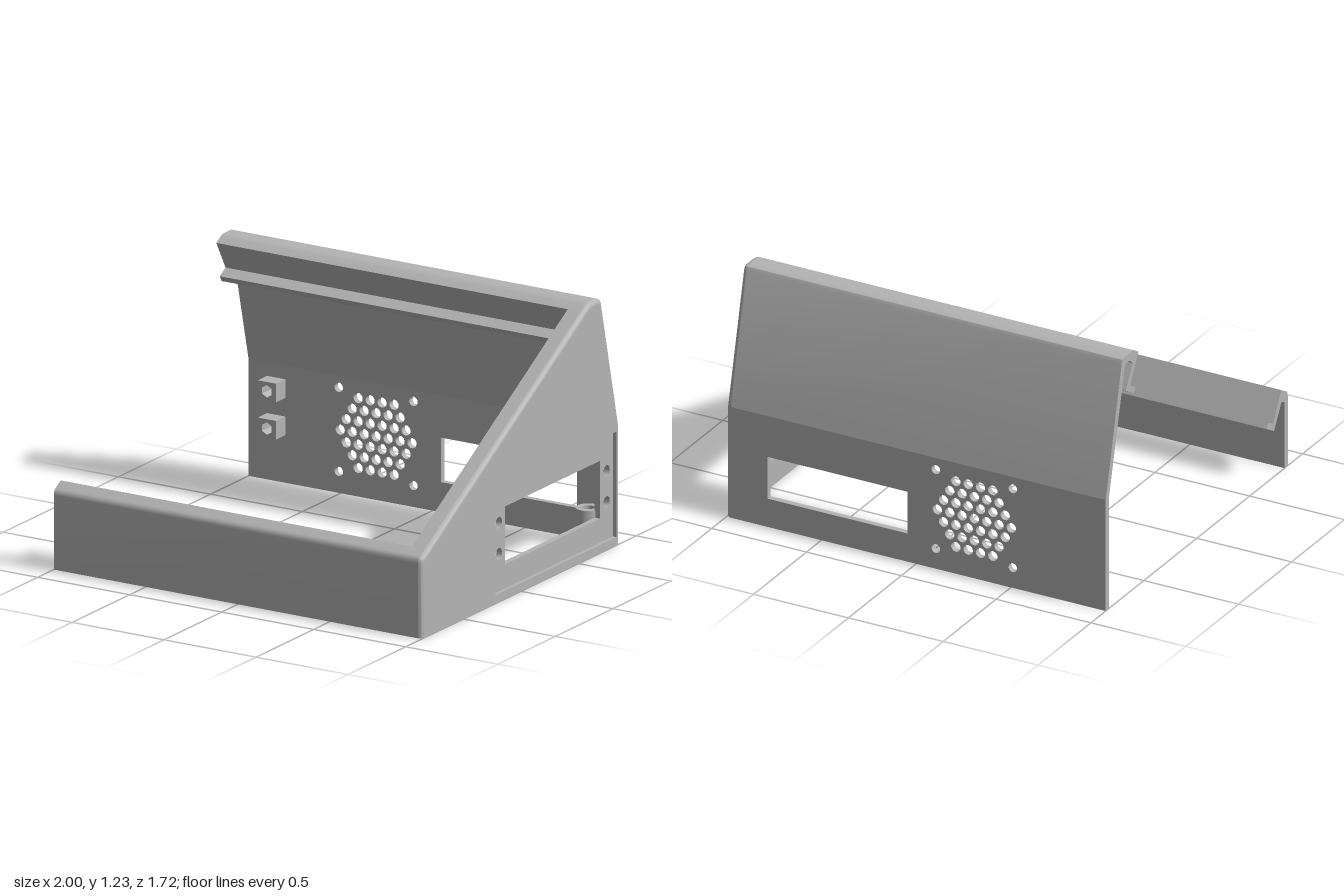
import * as THREE from 'three';
import { toCreasedNormals } from 'three/addons/utils/BufferGeometryUtils.js';

const R = 0.022;          // rounding of the closed end
const XS = 1 - R;         // where the rounding starts
const T = 0.03;           // sheet thickness

// Outer side profile as [z, y], from the front foot over the top to the back foot
const FRONT = [[0.86, 0], [0.86, 0.36], [0.858, 0.374], [0.85, 0.386], [0.838, 0.393]];
const TOP = [[-0.585, 1.221], [-0.605, 1.229], [-0.62, 1.23], [-0.68, 1.23], [-0.7, 1.222], [-0.709, 1.205], [-0.86, 0.57]];
const PROFILE = [...FRONT, ...TOP, [-0.86, 0]];

// Moves the profile inward by d, keeping the feet on the ground
function inset(d) {
  const normal = (a, b) => {
    const l = Math.hypot(b[0] - a[0], b[1] - a[1]);
    return [(b[1] - a[1]) / l, -(b[0] - a[0]) / l];
  };
  const last = PROFILE.length - 1;
  return PROFILE.map((p, i) => {
    const a = i > 0 ? normal(PROFILE[i - 1], p) : normal(p, PROFILE[1]);
    const b = i < last ? normal(p, PROFILE[i + 1]) : a;
    const k = d / (1 + a[0] * b[0] + a[1] * b[1]);
    return [p[0] - (a[0] + b[0]) * k, p[1] - (a[1] + b[1]) * k];
  });
}

const poly = (pts) => new THREE.Shape(pts.map(([x, y]) => new THREE.Vector2(x, y)));
const side = (pts) => pts.map(([z, y]) => [-z, y]);
const rect = (x0, y0, x1, y1) => [[x0, y0], [x1, y0], [x1, y1], [x0, y1]];
const polyHole = (pts) => new THREE.Path(pts.map(([x, y]) => new THREE.Vector2(x, y)));
const roundHole = (x, y, r) => new THREE.Path().absarc(x, y, r, 0, Math.PI * 2, true);

function extrude(shape, depth) {
  return new THREE.ExtrudeGeometry(shape, { depth, bevelEnabled: false, curveSegments: 10 });
}
// Extrudes a [-z, y] shape along x
function alongX(shape, x0, x1) {
  return extrude(shape, x1 - x0).rotateY(Math.PI / 2).translate(x0, 0, 0);
}

export function createModel() {
  const group = new THREE.Group();
  const grey = new THREE.MeshStandardMaterial({ color: 0xb4b4b4 });
  grey.name = 'grey';
  const add = (name, geometry, parent = group) => {
    const mesh = new THREE.Mesh(toCreasedNormals(geometry, 0.6), grey);
    mesh.name = name;
    parent.add(mesh);
    return mesh;
  };

  // Front wall, folded inward to a recessed ledge
  add('frontWall', alongX(poly(side([
    ...FRONT, [0.8, 0.415], [0.72, 0.275], [0.675, 0.301], [0.66, 0.275],
    [0.731, 0.234], [0.8, 0.352], [0.83, 0.34], [0.83, 0],
  ])), -1, XS));

  // Leaning upper back wall with the matching fold at the top
  add('upperBackWall', alongX(poly(side([
    [-0.83, 0.565], [-0.86, 0.57], ...TOP.slice(0, -1).reverse(), [-0.55, 1.2],
    [-0.63, 1.06], [-0.58, 1.031], [-0.595, 1.004], [-0.671, 1.049],
    [-0.605, 1.165], [-0.635, 1.19], [-0.677, 1.19],
  ])), -1, XS));

  // Lower back wall with connector window and fan grille
  const back = poly(rect(-1, 0, XS, 0.57));
  back.holes.push(polyHole(rect(0.045, 0.145, 0.785, 0.36)));
  const fx = -0.307, fy = 0.307;
  for (const sx of [-1, 1]) for (const sy of [-1, 1]) {
    back.holes.push(roundHole(fx + sx * 0.203, fy + sy * 0.203, 0.023));
  }
  for (let row = -3; row <= 3; row++) {
    const n = 7 - Math.abs(row);
    for (let i = 0; i < n; i++) {
      back.holes.push(roundHole(fx + (i - (n - 1) / 2) * 0.065, fy + row * 0.0563, 0.025));
    }
  }
  add('lowerBackWall', extrude(back, T).translate(0, 0, -0.86));

  // End wall with the cutout for the inset panel
  const end = poly(side(inset(R)));
  end.holes.push(polyHole(rect(-0.22, 0.04, 0.83, 0.55)));
  add('endWall', alongX(end, 0.97, 1));

  // Rounded edge between the end wall and the other walls
  const steps = 6, positions = [], index = [];
  for (let k = 0; k <= steps; k++) {
    const a = (k / steps) * Math.PI / 2;
    for (const [z, y] of inset(R * (1 - Math.cos(a)))) positions.push(XS + R * Math.sin(a), y, z);
  }
  const n = PROFILE.length;
  for (let k = 0; k < steps; k++) for (let i = 0; i < n - 1; i++) {
    const a = k * n + i, b = a + n;
    index.push(a, b, a + 1, b, b + 1, a + 1);
  }
  const edge = new THREE.BufferGeometry();
  edge.setAttribute('position', new THREE.Float32BufferAttribute(positions, 3));
  edge.setIndex(index);
  add('roundedEdge', edge);

  // Inset side panel with window and screw holes
  const panel = poly(rect(-0.23, 0.03, 0.835, 0.56));
  panel.holes.push(polyHole(rect(-0.105, 0.155, 0.72, 0.435)));
  for (const u of [-0.16, 0.775]) for (const y of [0.22, 0.37]) panel.holes.push(roundHole(u, y, 0.028));
  add('sidePanel', alongX(panel, 0.95, 0.98));

  // Sloping rim, recess wall and ledge along the closed end; local y is the slope normal
  const slope = new THREE.Group();
  slope.name = 'slopingFrame';
  slope.position.set(0, 0.8075, 0.125);
  slope.rotation.x = Math.atan2(0.503, 0.864);
  group.add(slope);
  const bar = (name, x0, x1, y0, y1, length) =>
    add(name, new THREE.BoxGeometry(x1 - x0, y1 - y0, length)
      .translate((x0 + x1) / 2, (y0 + y1) / 2, 0), slope);
  bar('rim', 0.91, XS, -T, 0, 1.6);
  bar('recessWall', 0.91, 0.94, -0.19, -0.001, 1.58);
  bar('ledge', 0.86, 0.94, -0.192, -0.162, 1.57);

  // Screw blocks on the inside of the back wall
  for (const y of [0.455, 0.275]) {
    const block = poly(rect(-0.9, y - 0.045, -0.8, y + 0.045));
    const hex = [];
    for (let i = 0; i < 6; i++) {
      const a = (i + 0.5) * Math.PI / 3;
      hex.push([-0.85 + 0.03 * Math.cos(a), y + 0.03 * Math.sin(a)]);
    }
    block.holes.push(polyHole(hex));
    add('screwBlock', extrude(block, 0.09).translate(0, 0, -0.84));
  }

  // Screw posts in the bottom corners
  for (const z of [-0.745, 0.745]) {
    const post = new THREE.Shape().absarc(0, 0, 0.06, 0, Math.PI * 2, false);
    post.holes.push(roundHole(0, 0, 0.03));
    add('screwPost', extrude(post, 0.16).rotateX(-Math.PI / 2).translate(0.9, 0.03, z));
  }
  return group;
}
